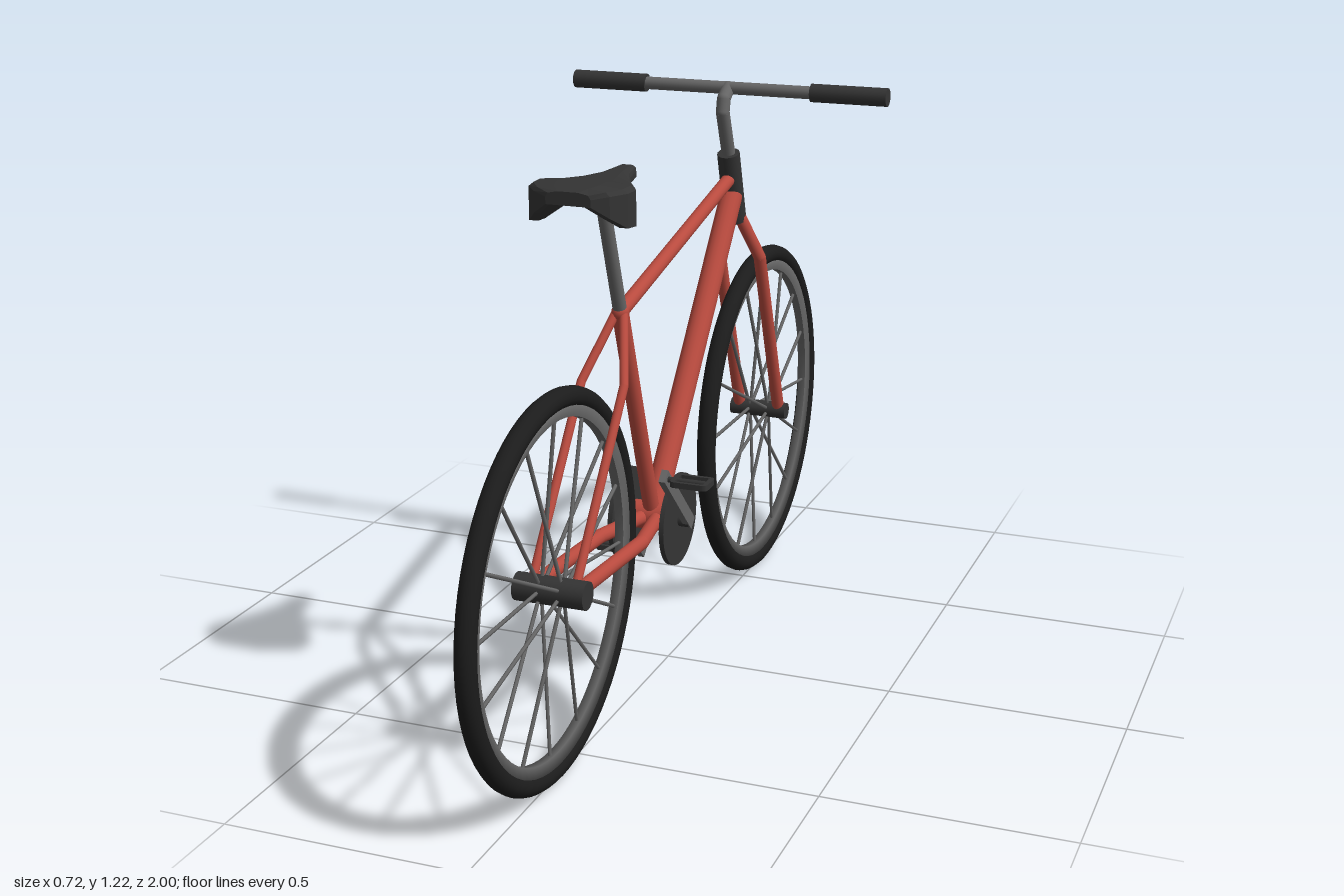
import * as THREE from 'three';

const V = (x, y, z) => new THREE.Vector3(x, y, z);
const paint = (color, extra = {}) => new THREE.MeshStandardMaterial({ color, ...extra });

export function createModel() {
  const bike = new THREE.Group();
  bike.name = 'bicycle';
  const red = paint(0xb84a3e), black = paint(0x1c1c1c), dark = paint(0x343434), metal = paint(0x666666);

  const add = (name, geometry, material, parent = bike) => {
    const mesh = new THREE.Mesh(geometry, material);
    mesh.name = name;
    parent.add(mesh);
    return mesh;
  };
  // Straight round bar between two points
  const rod = (name, a, b, r, material, parent = bike, sides = 16) => {
    const dir = b.clone().sub(a);
    const mesh = add(name, new THREE.CylinderGeometry(r, r, dir.length(), sides), material, parent);
    mesh.position.copy(a).add(b).multiplyScalar(0.5);
    mesh.quaternion.setFromUnitVectors(V(0, 1, 0), dir.normalize());
    return mesh;
  };
  // Bent tube: rods with round joints
  const bentTube = (name, points, r, material) => {
    const group = new THREE.Group();
    group.name = name;
    bike.add(group);
    points.forEach((p, i) => {
      add(name + 'Joint', new THREE.SphereGeometry(r, 16, 10), material, group).position.copy(p);
      if (i) rod(name + 'Section', points[i - 1], p, r, material, group);
    });
  };

  // Key points of the frame
  const rearAxle = V(0, 0.393, 0.61), frontAxle = V(0, 0.393, -0.607);
  const bracket = V(0, 0.364, 0.092), seatTop = V(0, 0.85, 0.263);
  const headTop = V(0, 1.053, -0.369), headBottom = V(0, 0.893, -0.419);

  // Wheels
  const wheel = (name, centre, hubRadius, hubHalf) => {
    const group = new THREE.Group();
    group.name = name;
    group.position.copy(centre);
    bike.add(group);
    add('tyre', new THREE.TorusGeometry(0.37, 0.021, 14, 72).rotateY(Math.PI / 2), black, group);
    const rimProfile = [[0.333, -0.009], [0.358, -0.015], [0.358, 0.015], [0.333, 0.009], [0.333, -0.009]]
      .map(p => new THREE.Vector2(...p));
    add('rim', new THREE.LatheGeometry(rimProfile, 72).rotateZ(Math.PI / 2),
      paint(0x666666, { side: THREE.DoubleSide }), group);
    rod('hub', V(-hubHalf, 0, 0), V(hubHalf, 0, 0), hubRadius, dark, group, 20);
    for (let i = 0; i < 16; i++) {
      const a = (i * 22.5 - 4) * Math.PI / 180, c = -Math.cos(a), s = Math.sin(a);
      rod('spoke', V(i % 2 ? 0.022 : -0.022, s * 0.012, c * 0.012), V(0, s * 0.338, c * 0.338), 0.004, metal, group, 6);
    }
  };
  wheel('rearWheel', rearAxle, 0.028, 0.073);
  wheel('frontWheel', frontAxle, 0.019, 0.068);

  // Main frame tubes
  rod('seatTube', bracket, seatTop, 0.017, red);
  rod('topTube', seatTop, V(0, 0.995, -0.38), 0.015, red);
  rod('downTube', bracket, V(0, 0.955, -0.392), 0.025, red);
  rod('headTube', headBottom, headTop, 0.025, dark);
  rod('bottomBracketShell', V(-0.04, 0.364, 0.092), V(0.04, 0.364, 0.092), 0.03, red);
  add('seatCluster', new THREE.SphereGeometry(0.018, 16, 10), red).position.copy(seatTop);
  rod('seatPost', seatTop, V(0, 1.115, 0.357), 0.014, metal);

  // Paired stays and fork blades
  for (const s of [-1, 1]) {
    bentTube('chainStay', [V(s * 0.014, 0.364, 0.1), V(s * 0.046, 0.374, 0.27), V(s * 0.046, 0.393, 0.61)], 0.015, red);
    bentTube('seatStay', [V(s * 0.008, 0.85, 0.265), V(s * 0.045, 0.73, 0.356), V(s * 0.045, 0.393, 0.61)], 0.009, red);
    bentTube('forkBlade', [V(s * 0.01, 0.905, -0.416), V(s * 0.048, 0.803, -0.452), V(s * 0.048, 0.393, -0.607)], 0.014, red);
  }

  // Stem, handlebar and grips
  const bar = V(0, 1.198, -0.364);
  bentTube('stem', [headTop, V(0, 1.15, -0.33), V(0, 1.178, -0.336), bar], 0.015, metal);
  rod('handlebar', V(-0.35, bar.y, bar.z), V(0.35, bar.y, bar.z), 0.014, metal);
  for (const s of [-1, 1])
    rod('grip', V(s * 0.19, bar.y, bar.z), V(s * 0.36, bar.y, bar.z), 0.02, dark);

  // Chainrings, cranks and pedals; the two sides point opposite ways
  rod('crankAxle', V(-0.085, bracket.y, bracket.z), V(0.085, bracket.y, bracket.z), 0.015, dark);
  const pedalShape = new THREE.Shape();
  const w = 0.04, d = 0.028, c = 0.012;
  pedalShape.moveTo(-w + c, -d).lineTo(w - c, -d).quadraticCurveTo(w, -d, w, -d + c).lineTo(w, d - c)
    .quadraticCurveTo(w, d, w - c, d).lineTo(-w + c, d).quadraticCurveTo(-w, d, -w, d - c)
    .lineTo(-w, -d + c).quadraticCurveTo(-w, -d, -w + c, -d);
  const hole = new THREE.Path();
  hole.moveTo(-0.03, -0.02).lineTo(-0.03, 0.02).lineTo(0.03, 0.02).lineTo(0.03, -0.02).closePath();
  pedalShape.holes.push(hole);
  const pedalGeometry = new THREE.ExtrudeGeometry(pedalShape, { depth: 0.012, bevelEnabled: false, curveSegments: 5 })
    .translate(0, 0, -0.006).rotateX(Math.PI / 2);
  for (const s of [-1, 1]) {
    rod('chainring', V(s * 0.052, bracket.y, bracket.z), V(s * 0.062, bracket.y, bracket.z), 0.098, dark, bike, 40);
    const end = V(s * 0.08, bracket.y + s * 0.135, bracket.z + s * 0.133);
    const arm = end.clone().sub(V(s * 0.08, bracket.y, bracket.z));
    const crank = add('crank', new THREE.BoxGeometry(0.014, 0.028, arm.length() + 0.03), metal);
    crank.position.copy(end).addScaledVector(arm, -0.5);
    crank.rotation.x = -Math.PI / 4;
    rod('pedalAxle', end, V(s * 0.175, end.y, end.z), 0.006, dark, bike, 10);
    add('pedal', pedalGeometry, dark).position.set(s * 0.138, end.y, end.z);
  }

  // Saddle: lofted sections of [z, half width, top, skirt bottom, underside middle]
  const sections = [
    [0.205, 0.012, 1.133, 1.122, 1.122], [0.225, 0.02, 1.138, 1.115, 1.117], [0.28, 0.03, 1.136, 1.113, 1.116],
    [0.33, 0.052, 1.136, 1.104, 1.114], [0.38, 0.08, 1.139, 1.083, 1.112], [0.43, 0.102, 1.147, 1.067, 1.11],
    [0.465, 0.1, 1.147, 1.07, 1.11], [0.495, 0.076, 1.145, 1.092, 1.114], [0.512, 0.045, 1.14, 1.114, 1.12]];
  const rings = sections.map(([z, hw, top, low, mid]) => {
    const half = [[0.45, top], [0.9, top - 0.004], [1, top - 0.012], [1, low], [0.82, low], [0.45, mid]];
    return [...half, ...half.map(([x, y]) => [-x, y]).reverse()].map(([x, y]) => [x * hw, y, z]);
  });
  const pos = [];
  const n = rings[0].length;
  for (let i = 0; i + 1 < rings.length; i++)
    for (let j = 0; j < n; j++) {
      const k = (j + 1) % n, a = rings[i], b = rings[i + 1];
      pos.push(...a[j], ...b[k], ...b[j], ...a[j], ...a[k], ...b[k]);
    }
  // End caps, joined as strips across the mirrored halves
  for (const ring of [rings[0], rings[rings.length - 1]])
    for (let j = 0; j < n / 2 - 1; j++)
      pos.push(...ring[j], ...ring[j + 1], ...ring[n - 2 - j], ...ring[j], ...ring[n - 2 - j], ...ring[n - 1 - j]);
  const saddle = new THREE.BufferGeometry();
  saddle.setAttribute('position', new THREE.Float32BufferAttribute(pos, 3));
  saddle.computeVertexNormals();
  add('saddle', saddle, paint(0x343434, { flatShading: true, side: THREE.DoubleSide }));

  return bike;
}
